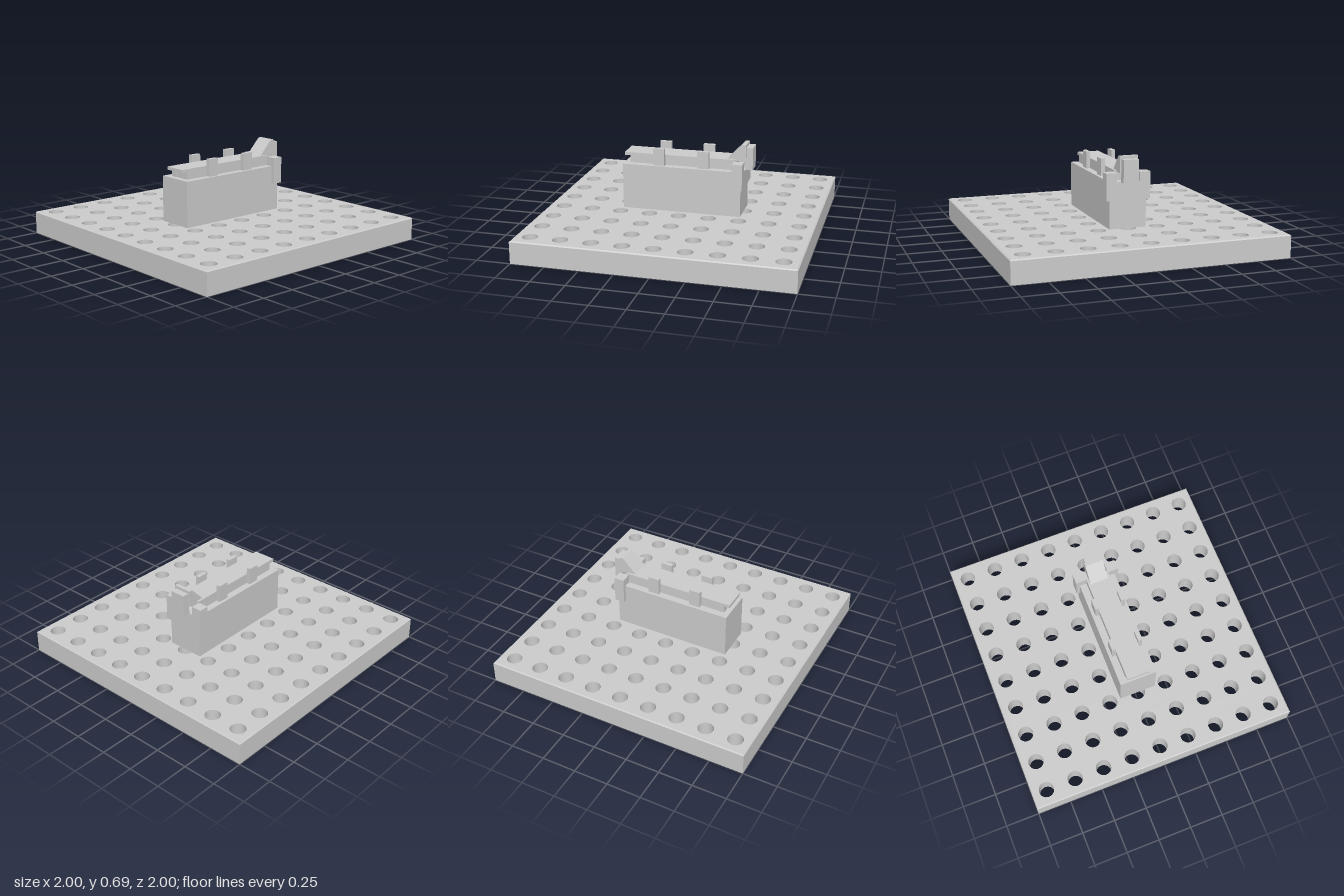
import * as THREE from 'three';
import { toCreasedNormals } from 'three/addons/utils/BufferGeometryUtils.js';

const material = new THREE.MeshStandardMaterial({ color: 0xcccccc });

export function createModel() {
  const group = new THREE.Group();

  const add = (name, geometry) => {
    const mesh = new THREE.Mesh(geometry, material);
    mesh.name = name;
    group.add(mesh);
  };
  // Box given by its lower and upper bounds on each axis
  const box = (name, x0, x1, y0, y1, z0, z1) => {
    const geometry = new THREE.BoxGeometry(x1 - x0, y1 - y0, z1 - z0);
    geometry.translate((x0 + x1) / 2, (y0 + y1) / 2, (z0 + z1) / 2);
    add(name, geometry);
  };

  // Perforated base plate with a 9 x 9 grid of through holes
  const top = 0.168, chamfer = 0.008, pitch = 2 / 9;
  const plate = new THREE.Shape([
    new THREE.Vector2(-1, -1), new THREE.Vector2(1, -1),
    new THREE.Vector2(1, 1), new THREE.Vector2(-1, 1),
  ]);
  for (let i = -4; i <= 4; i++) {
    for (let j = -4; j <= 4; j++) {
      plate.holes.push(new THREE.Path().absarc(i * pitch, j * pitch, 0.056, 0, Math.PI * 2, true));
    }
  }
  const plateGeometry = new THREE.ExtrudeGeometry(plate, {
    depth: top, steps: 2, bevelEnabled: false, curveSegments: 14,
  });
  plateGeometry.rotateX(-Math.PI / 2);
  // Raise the middle ring and pull in the top edge to form a small chamfer
  const p = plateGeometry.attributes.position;
  const limit = 1 - chamfer;
  for (let i = 0; i < p.count; i++) {
    const y = p.getY(i);
    if (Math.abs(y - top / 2) < 0.001) p.setY(i, top - chamfer);
    else if (y > top / 2) {
      p.setX(i, THREE.MathUtils.clamp(p.getX(i), -limit, limit));
      p.setZ(i, THREE.MathUtils.clamp(p.getZ(i), -limit, limit));
    }
  }
  add('basePlate', toCreasedNormals(plateGeometry, 0.5));

  // Main block, with the sliding strip carried above it
  box('mainBlock', -0.138, 0.138, top, 0.507, -0.44, 0.447);
  box('slideCore', -0.035, 0.035, 0.507, 0.56, -0.38, 0.40);
  box('slideStrip', -0.085, 0.085, 0.56, 0.583, -0.39, 0.447);

  // Paired rails, guide posts and rear bracket ears
  for (const side of [-1, 1]) {
    const pair = (name, inner, outer, ...rest) =>
      box(name, Math.min(side * inner, side * outer), Math.max(side * inner, side * outer), ...rest);
    pair('slideRail', 0.035, 0.085, 0.507, 0.56, -0.38, 0.405);
    pair('frontPost', 0.085, 0.115, 0.507, 0.635, 0.137, 0.222);
    pair('rearPost', 0.085, 0.115, 0.507, 0.635, -0.197, -0.112);
    pair('bracketEar', 0.085, 0.165, 0.507, 0.572, -0.455, -0.38);
    pair('bracketArm', 0.138, 0.165, 0.375, 0.507, -0.455, -0.38);
  }
  box('bracketBack', -0.138, 0.138, 0.375, 0.507, -0.455, -0.44);

  // Sloped thumb wedge: profile in (-z, y), extruded across x
  const wedge = new THREE.Shape([
    new THREE.Vector2(0.32, 0.572), new THREE.Vector2(0.463, 0.572),
    new THREE.Vector2(0.463, 0.693), new THREE.Vector2(0.435, 0.693),
  ]);
  const wedgeGeometry = new THREE.ExtrudeGeometry(wedge, { depth: 0.136, bevelEnabled: false });
  wedgeGeometry.translate(0, 0, -0.068);
  wedgeGeometry.rotateY(Math.PI / 2);
  add('thumbWedge', wedgeGeometry);
  box('rearLatch', -0.057, 0.057, 0.507, 0.672, -0.512, -0.455);

  return group;
}
